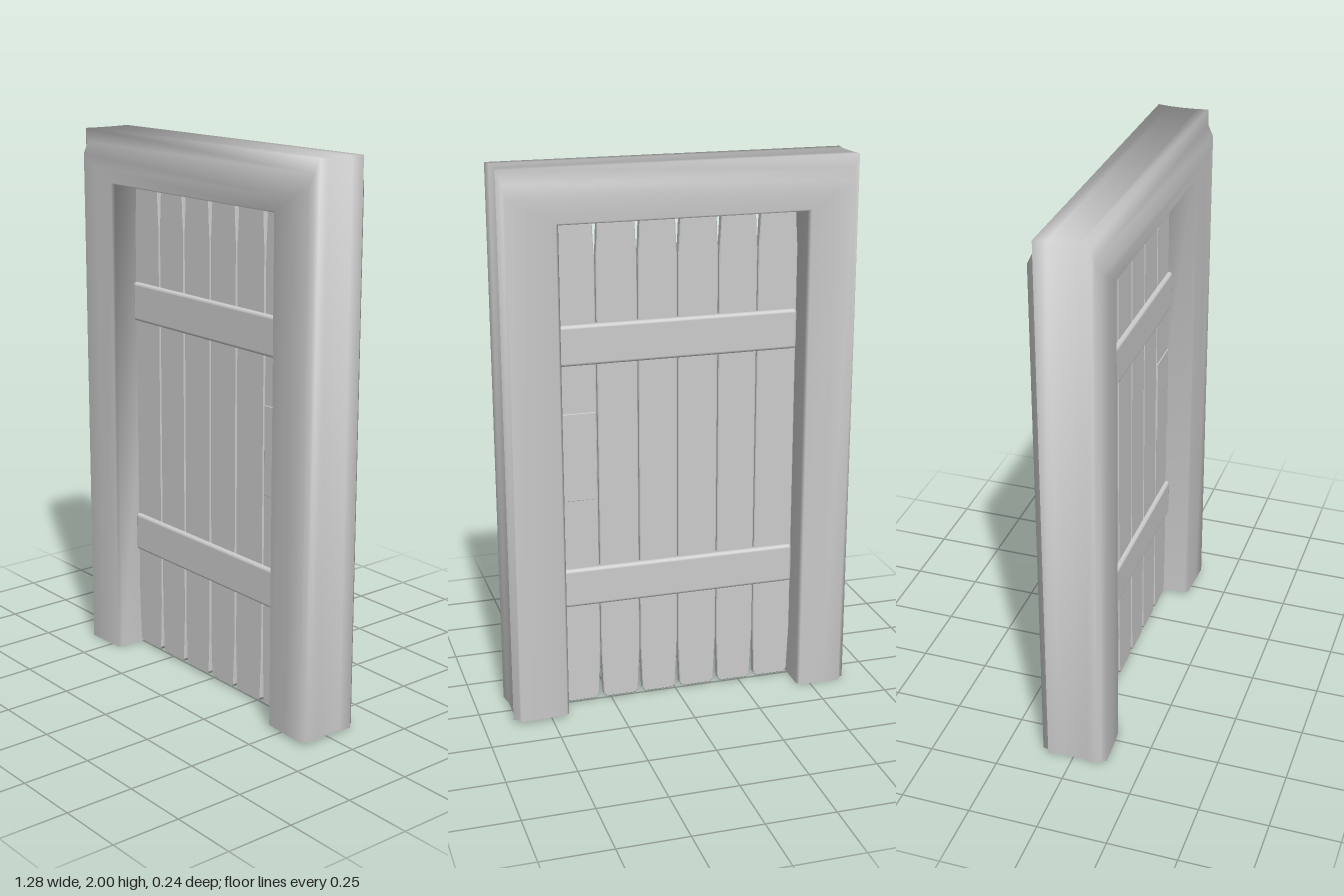
import * as THREE from 'three';
import { RoundedBoxGeometry } from 'three/addons/geometries/RoundedBoxGeometry.js';

const material = new THREE.MeshStandardMaterial({ color: 0xcccccc });

// Moulding section, front half: [share of jamb width, share of lintel height, z]
const half = [
  [0, 0, 0.1], [0.05, 0.04, 0.112], [0.5, 0.3, 0.118], [0.88, 0.53, 0.12],
  [0.9, 0.74, 0.1], [1, 1, 0.093], [0.96, 1, 0.05],
];
const section = [...half, [0.95, 1, 0], ...half.map(([u, e, z]) => [u, e, -z]).reverse()];

// Sweeps the section up one jamb, over the lintel and down the other
function frameGeometry() {
  const stations = [[-0.45, -0.64, 0], [-0.45, -0.64, null], [0.435, 0.64, null], [0.435, 0.64, 0.01]];
  const n = section.length, pos = [], index = [];
  for (const [inner, outer, foot] of stations)
    for (const [u, e, z] of section)
      pos.push(inner + (outer - inner) * u, foot ?? 1.81 + 0.19 * e, z);
  for (let k = 0; k < 3; k++)
    for (let j = 0; j < n; j++) {
      const a = k * n + j, b = k * n + (j + 1) % n;
      index.push(a, a + n, b, b, a + n, b + n);
    }
  // Feet, sharing vertices with the sides for soft shading
  pos.push(-0.545, 0, 0, 0.54, 0.01, 0);
  for (let j = 0; j < n; j++) {
    const next = (j + 1) % n;
    index.push(j, next, 4 * n, 3 * n + next, 3 * n + j, 4 * n + 1);
  }
  const geometry = new THREE.BufferGeometry();
  geometry.setAttribute('position', new THREE.Float32BufferAttribute(pos, 3));
  geometry.setIndex(index);
  geometry.computeVertexNormals();
  return geometry;
}

// Board whose ends narrow slightly and have clipped corners
function plankGeometry(x0, x1) {
  const w = (x1 - x0) / 2 - 0.003, y0 = 0.012, y1 = 1.808;
  const right = [
    [w - 0.016, y0], [w - 0.007, y0 + 0.012], [w - 0.004, y0 + 0.09], [w, y0 + 0.19],
    [w, y1 - 0.14], [w - 0.004, y1 - 0.08], [w - 0.007, y1 - 0.012], [w - 0.012, y1],
  ];
  const outline = [...right, ...right.map(([x, y]) => [-x, y]).reverse()];
  const shape = new THREE.Shape(outline.map(([x, y]) => new THREE.Vector2(x, y)));
  const geometry = new THREE.ExtrudeGeometry(shape, {
    depth: 0.024, bevelThickness: 0.003, bevelSize: 0.003, bevelOffset: -0.002, bevelSegments: 1,
  });
  return geometry.translate((x0 + x1) / 2, 0, -0.012);
}

// Upright box with rounded corners, running through the door
function slab(x0, x1, y0, y1, depth, radius) {
  const shape = new RoundedBoxGeometry(x1 - x0, y1 - y0, depth, 2, radius);
  return shape.translate((x0 + x1) / 2, (y0 + y1) / 2, 0);
}

export function createModel() {
  const group = new THREE.Group();
  const add = (parent, name, geometry) => {
    const mesh = new THREE.Mesh(geometry, material);
    mesh.name = name;
    parent.add(mesh);
  };
  add(group, 'doorFrame', frameGeometry());

  const door = new THREE.Group();
  door.name = 'door';
  group.add(door);

  // Vertical boards
  const seams = [-0.45, -0.3, -0.155, -0.005, 0.14, 0.29, 0.433];
  for (let i = 0; i < 6; i++) add(door, `plank${i + 1}`, plankGeometry(seams[i], seams[i + 1]));

  // Cross battens showing on both faces
  add(door, 'lowerBatten', slab(-0.447, 0.435, 0.395, 0.54, 0.06, 0.012));
  add(door, 'upperBatten', slab(-0.447, 0.435, 1.3, 1.445, 0.06, 0.012));

  // Thin plate at the latch side
  add(door, 'latchPlate', slab(0.296, 0.43, 0.8, 1.125, 0.037, 0.002));
  return group;
}
